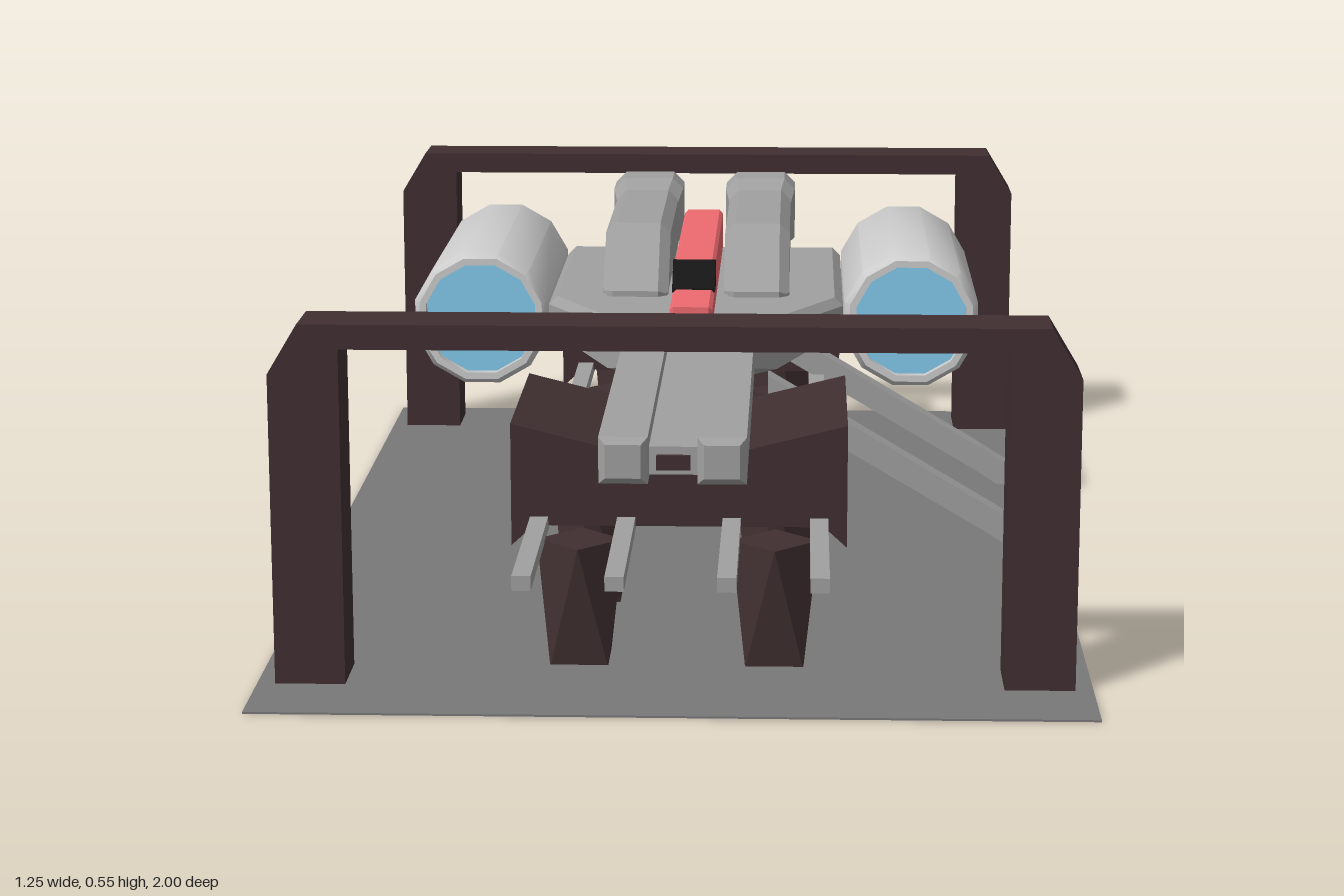
import * as THREE from 'three';
import { toCreasedNormals } from 'three/addons/utils/BufferGeometryUtils.js';
import { ConvexGeometry } from 'three/addons/geometries/ConvexGeometry.js';

const mat = (color) => new THREE.MeshStandardMaterial({ color, side: THREE.DoubleSide });
const light = mat(0xcccccc), hullGrey = mat(0xa0a0a0), floorGrey = mat(0x787878);
const brown = mat(0x402f31), red = mat(0xee6a70), blue = mat(0x82c9ec), black = mat(0x151515);

const shapeOf = (pts) => new THREE.Shape(pts.map(([x, y]) => new THREE.Vector2(x, y)));

// Extrudes an outline between z0 and z1, with an optional bevel kept inside the size
function extrudeZ(pts, z0, z1, bevel = 0) {
  const g = new THREE.ExtrudeGeometry(shapeOf(pts), {
    depth: z1 - z0 - 2 * bevel, bevelEnabled: bevel > 0, bevelSize: bevel,
    bevelThickness: bevel, bevelOffset: -bevel, bevelSegments: 1,
  });
  return g.translate(0, 0, z0 + bevel);
}

// Extrudes a side outline of (z, y) points across x, centred on x
const extrudeX = (pts, width, x = 0, bevel = 0) =>
  extrudeZ(pts, -width / 2, width / 2, bevel).rotateY(-Math.PI / 2).translate(x, 0, 0);

const rect = (x0, x1, y0, y1) => [[x0, y0], [x1, y0], [x1, y1], [x0, y1]];

// Flat-shaded skin over equal-length rings, ordered back to front, counter-clockwise from +z
function loft(rings) {
  const pos = [], n = rings[0].length;
  const tri = (...p) => p.forEach((v) => pos.push(...v));
  for (let k = 0; k < rings.length - 1; k++) {
    const a = rings[k], b = rings[k + 1];
    for (let i = 0; i < n; i++) {
      const j = (i + 1) % n;
      tri(a[i], a[j], b[j]);
      tri(a[i], b[j], b[i]);
    }
  }
  const back = rings[0], front = rings[rings.length - 1];
  for (let i = 1; i < n - 1; i++) {
    tri(front[0], front[i], front[i + 1]);
    tri(back[0], back[i + 1], back[i]);
  }
  const g = new THREE.BufferGeometry();
  g.setAttribute('position', new THREE.Float32BufferAttribute(pos, 3));
  g.computeVertexNormals();
  return g;
}

export function createModel() {
  const model = new THREE.Group();
  model.name = 'craftInDock';
  model.position.x = -0.007;
  const add = (name, geometry, material) => {
    const m = new THREE.Mesh(geometry, material);
    m.name = name;
    model.add(m);
    return m;
  };
  const box = (name, x0, x1, y0, y1, z0, z1, material) =>
    add(name, new THREE.BoxGeometry(x1 - x0, y1 - y0, z1 - z0)
      .translate((x0 + x1) / 2, (y0 + y1) / 2, (z0 + z1) / 2), material);

  // Floor
  box('floorPlate', -0.622, 0.622, 0.001, 0.004, -1, 1, floorGrey);

  // Gantries with chamfered corners
  const arch = [[-0.595, 0], [-0.49, 0], [-0.49, 0.513], [0.49, 0.513], [0.49, 0], [0.595, 0],
    [0.595, 0.475], [0.55, 0.55], [-0.55, 0.55], [-0.595, 0.475]];
  add('frontGantry', extrudeZ(arch, 0.76, 0.862), brown);
  add('rearGantry', extrudeZ(arch, -0.946, -0.843), brown);

  // Cradles with a V-shaped top
  const cradle = [[-0.258, 0.163], [-0.223, 0.195], [0.223, 0.195], [0.258, 0.163],
    [0.258, 0.355], [0, 0.29], [-0.258, 0.355]];
  add('frontCradle', extrudeZ(cradle, 0.285, 0.65), brown);
  add('rearCradle', extrudeZ(cradle, -0.705, -0.49), brown);

  // Rails and twisted tapering stands
  for (const x of [-0.215, -0.081, 0.081, 0.215])
    box('rail', x - 0.014, x + 0.014, 0.187, 0.209, -0.99, 0.99, hullGrey);
  const standPts = [];
  for (let i = 0; i < 4; i++) {
    const a = i * Math.PI / 2, b = a + Math.PI / 4;
    standPts.push(new THREE.Vector3(0.066 * Math.cos(a), 0.19, 0.066 * Math.sin(a)));
    standPts.push(new THREE.Vector3(0.062 * Math.cos(b), 0, 0.062 * Math.sin(b)));
  }
  const standGeometry = new ConvexGeometry(standPts);
  for (const z of [0.71, 0.367, 0.025, -0.348, -0.718])
    for (const s of [-1, 1]) add('stand', standGeometry, brown).position.set(s * 0.148, 0, z);

  // Service struts on the left side
  const strut = [[0.13, 0.255], [0.51, 0.03], [0.55, 0.004], [0.632, 0.004], [0.632, 0.04],
    [0.57, 0.04], [0.52, 0.072], [0.13, 0.305]];
  for (const z of [0.035, -0.42]) add('serviceStrut', extrudeZ(strut, z - 0.024, z + 0.024), hullGrey);

  // Main hull: narrow at the neck, flaring back, with a keeled underside
  const ring = (z, w, keel, side) => [[0, keel, z], [w, side, z], [w, 0.38, z], [w - 0.015, 0.395, z],
    [-w + 0.015, 0.395, z], [-w, 0.38, z], [-w, side, z]];
  add('hull', loft([ring(-0.685, 0.26, 0.283, 0.335), ring(-0.18, 0.26, 0.283, 0.335),
    ring(0.03, 0.145, 0.275, 0.31), ring(0.095, 0.108, 0.32, 0.325)]), hullGrey);

  // Neck: two prongs with a sunken channel between them
  for (const s of [-1, 1]) {
    const g = extrudeZ(rect(-0.036, 0.036, 0.325, 0.395), 0.02, 0.912, 0.01).translate(s * 0.072, 0, 0);
    add('neckProng', g, hullGrey);
  }
  box('neckChannel', -0.04, 0.04, 0.33, 0.372, 0.02, 0.865, hullGrey);
  box('neckTip', -0.025, 0.025, 0.338, 0.36, 0.86, 0.872, brown);

  // Spine with a dark windscreen on its step
  add('spine', extrudeX([[0.098, 0.385], [0.098, 0.43], [-0.06, 0.432], [-0.105, 0.468],
    [-0.68, 0.468], [-0.68, 0.385]], 0.072, 0, 0.006), red);
  add('windscreen', extrudeX([[-0.05, 0.427], [-0.05, 0.434], [-0.1, 0.474], [-0.112, 0.474],
    [-0.112, 0.427]], 0.074), black);

  // Upper pods: sloped nose, long body, larger square exhaust
  for (const s of [-1, 1]) {
    const x = s * 0.107;
    add('upperPod', extrudeX([[-0.175, 0.385], [-0.175, 0.405], [-0.295, 0.507], [-0.72, 0.507],
      [-0.72, 0.385]], 0.116, x, 0.018), hullGrey);
    const block = (w, y0, y1, z) => {
      const c = 0.02;
      return [[x - w + c, y0, z], [x + w - c, y0, z], [x + w, y0 + c, z], [x + w, y1 - c, z],
        [x + w - c, y1, z], [x - w + c, y1, z], [x - w, y1 - c, z], [x - w, y0 + c, z]];
    };
    add('podExhaust', loft([block(0.06, 0.395, 0.517, -0.806), block(0.066, 0.39, 0.523, -0.797),
      block(0.066, 0.39, 0.523, -0.715), block(0.056, 0.392, 0.5, -0.65)]), hullGrey);
    box('podGlow', x - 0.046, x + 0.046, 0.41, 0.502, -0.808, -0.8, blue);
  }

  // Side engines: twelve-sided tubes with recessed glowing ends
  const profile = [[0.1, -0.25], [0.1, -0.275], [0.112, -0.275], [0.122, -0.258],
    [0.122, 0.258], [0.112, 0.275], [0.1, 0.275], [0.1, 0.25]];
  const engineGeometry = toCreasedNormals(
    new THREE.LatheGeometry(profile.map(([r, y]) => new THREE.Vector2(r, y)), 12, Math.PI / 12)
      .rotateX(Math.PI / 2), 0.65);
  const glowGeometry = new THREE.CircleGeometry(0.102, 12, Math.PI / 12);
  for (const s of [-1, 1]) {
    add('sideEngine', engineGeometry, light).position.set(s * 0.38, 0.355, -0.44);
    for (const e of [-1, 1]) {
      const glow = add('engineGlow', glowGeometry, blue);
      glow.position.set(s * 0.38, 0.355, -0.44 + e * 0.258);
      if (e < 0) glow.rotation.y = Math.PI;
    }
  }
  return model;
}
